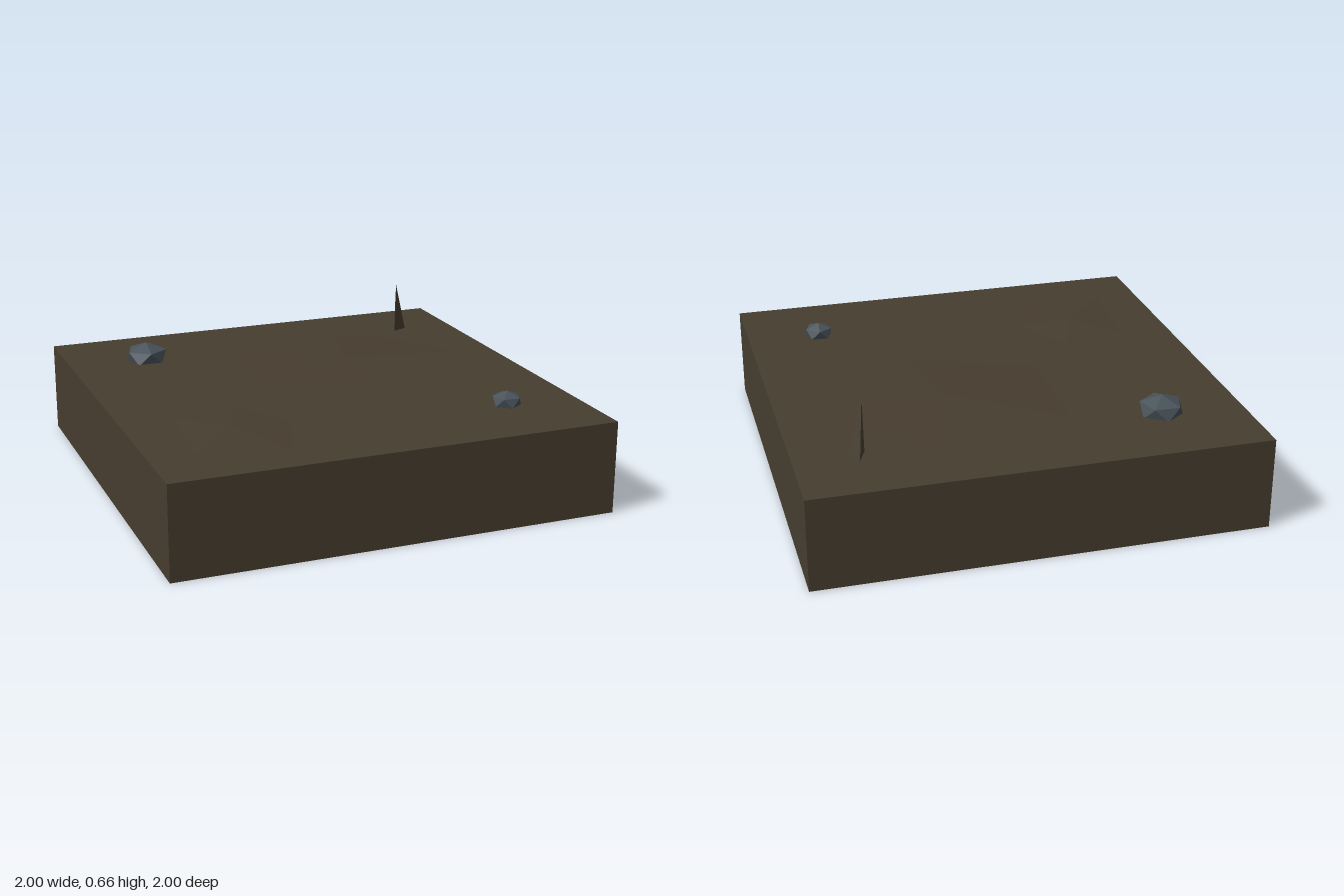
import * as THREE from 'three';

export function createModel() {
  const group = new THREE.Group();
  const top = 0.417;
  const soil = new THREE.MeshStandardMaterial({ name: 'dark soil', color: 0x463d2f, flatShading: true });
  const stone = new THREE.MeshStandardMaterial({ name: 'slate grey', color: 0x48525a, flatShading: true });

  const add = (name, geometry, material) => {
    const mesh = new THREE.Mesh(geometry, material);
    mesh.name = name;
    group.add(mesh);
    return mesh;
  };

  // Faceted peak: a fan from the apex to a ground outline (counter-clockwise from above)
  const peak = (name, outline, apex) => {
    const points = [];
    outline.forEach(([x, z], i) => {
      const [nx, nz] = outline[(i + 1) % outline.length];
      points.push(...apex, x, top, z, nx, top, nz);
    });
    const geometry = new THREE.BufferGeometry();
    geometry.setAttribute('position', new THREE.Float32BufferAttribute(points, 3));
    geometry.computeVertexNormals();
    return add(name, geometry, soil);
  };

  // Ground slab
  add('groundSlab', new THREE.BoxGeometry(2, top, 2), soil).position.y = top / 2;

  // Shallow mounds
  peak('largeMound',
    [[-0.24, -0.01], [0.32, 0.24], [0.83, -0.2], [0.59, -0.56], [0.37, -0.68], [-0.24, -0.57]],
    [0.25, 0.436, -0.23]);
  peak('smallMound',
    [[-0.8, 0.74], [-0.41, 0.83], [-0.3, 0.48], [-0.46, 0.2], [-0.76, 0.27]],
    [-0.57, 0.428, 0.47]);

  // Leaning three-sided spike
  peak('spike', [[0.69, -0.645], [0.76, -0.675], [0.725, -0.73]], [0.695, 0.66, -0.647]);

  // Half-buried stones: flattened icosahedra with one corner upwards
  const rock = (name, x, z, radius, y, height, turn) => {
    const geometry = new THREE.IcosahedronGeometry(1, 0);
    geometry.rotateZ(Math.atan(2 / (1 + Math.sqrt(5))));
    geometry.rotateY(turn);
    geometry.scale(radius, height, radius);
    add(name, geometry, stone).position.set(x, y, z);
  };
  rock('largeRock', -0.63, -0.62, 0.107, 0.439, 0.063, 0.3);
  rock('smallRock', 0.665, 0.62, 0.071, 0.438, 0.044, 0.9);

  return group;
}
